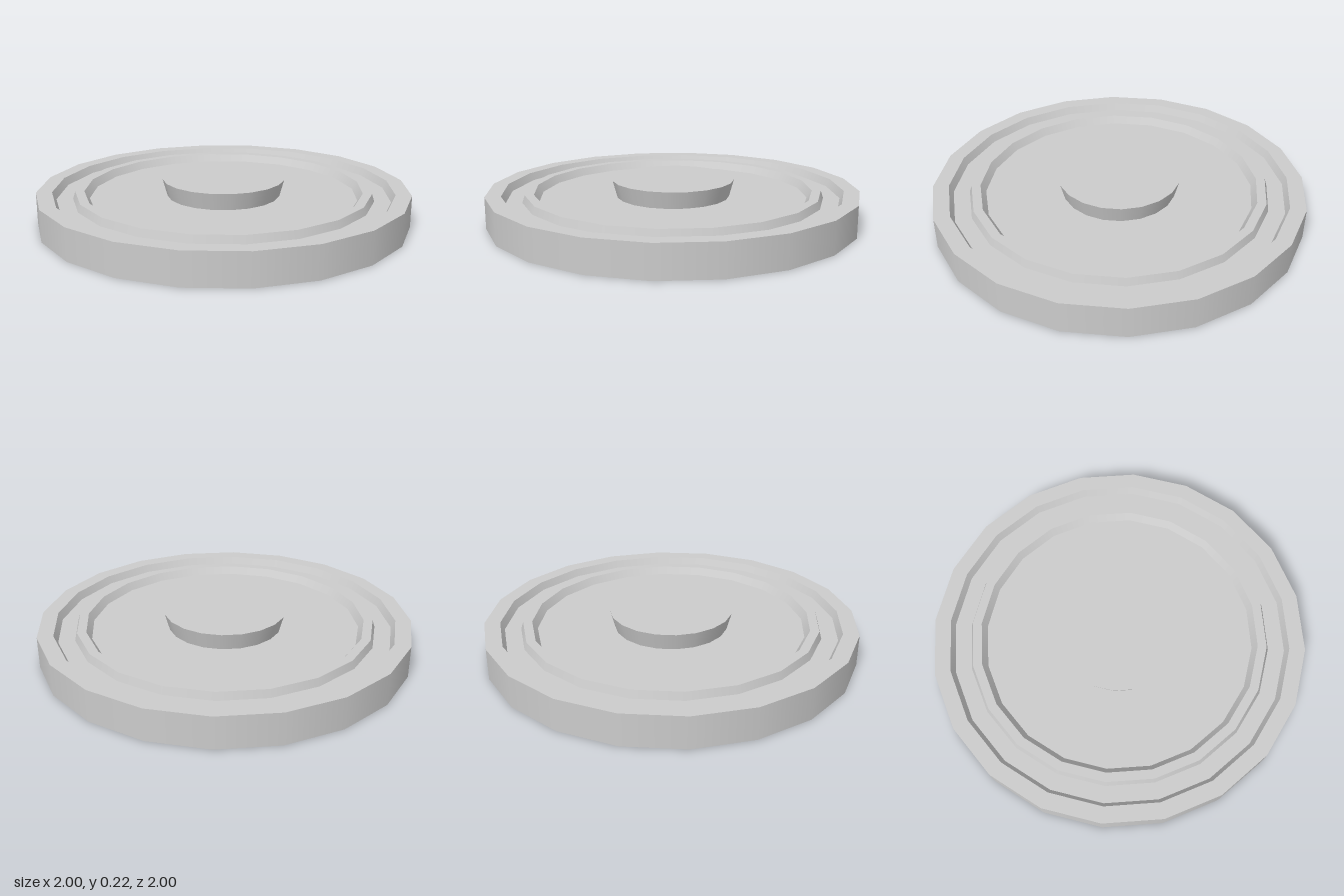
import * as THREE from 'three';
import { mergeGeometries } from 'three/addons/utils/BufferGeometryUtils.js';

const SIDES = 20;
const material = new THREE.MeshStandardMaterial({ color: 0xcccccc });

// Turned part: smooth around the axis, sharp at every corner of the profile.
function turned(name, profile) {
  const bands = [];
  for (let i = 0; i < profile.length - 1; i++) {
    const ends = [profile[i], profile[i + 1]].map(([r, y]) => new THREE.Vector2(r, y));
    bands.push(new THREE.LatheGeometry(ends, SIDES));
  }
  const mesh = new THREE.Mesh(mergeGeometries(bands), material);
  mesh.name = name;
  return mesh;
}

export function createModel() {
  const group = new THREE.Group();
  group.name = 'disc';

  const top = 0.17, floor = 0.13, hubTop = 0.222;

  // Underside, outer wall and flat rim
  group.add(turned('rim', [[0, 0], [1, 0], [1, top], [0.916, top]]));

  // Sunken ring between the rim and the ridge
  group.add(turned('groove', [[0.916, top], [0.895, floor], [0.808, floor]]));

  // Raised ring with sloping sides
  group.add(turned('ridge', [[0.808, floor], [0.795, top], [0.747, top], [0.72, floor]]));

  // Recessed floor around the hub
  group.add(turned('recessedFloor', [[0.72, floor], [0.305, floor]]));

  // Central hub, narrower at its foot
  group.add(turned('hub', [[0.305, floor], [0.33, hubTop], [0, hubTop]]));

  return group;
}
